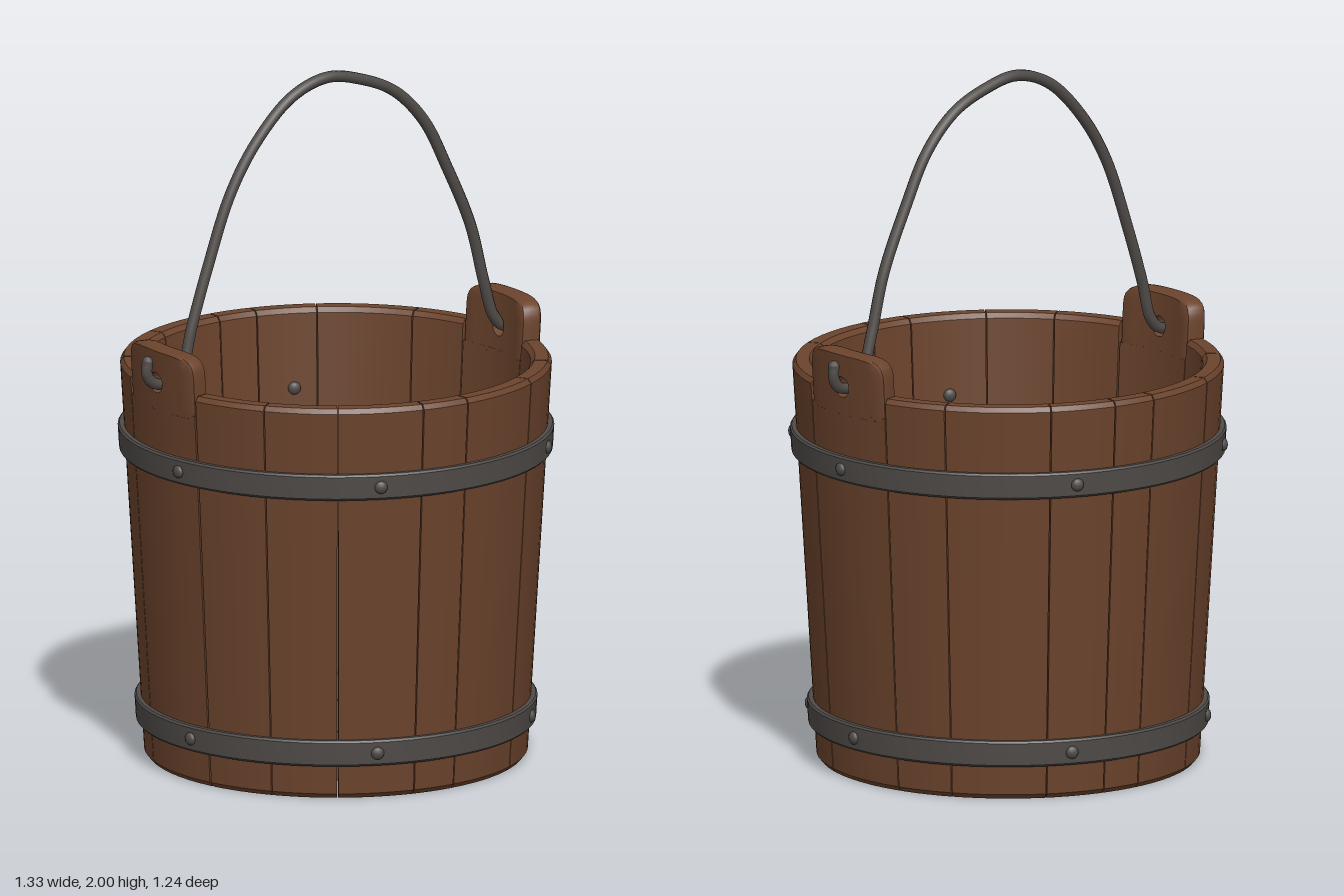
import * as THREE from 'three';
import { toCreasedNormals } from 'three/addons/utils/BufferGeometryUtils.js';

const HEIGHT = 1.16, WALL = 0.06, EAR_Y = 1.17;
// outer radius of the tapered tub at a height
const radius = (y) => 0.545 + 0.07 * y / HEIGHT;
// a is measured from the front (+z) towards +x
const polar = (a, y, r) => new THREE.Vector3(r * Math.sin(a), y, r * Math.cos(a));

export function createModel() {
  const wood = new THREE.MeshStandardMaterial({ color: 0x6b432c });
  wood.name = 'wood';
  const iron = new THREE.MeshStandardMaterial({ color: 0x4f4b48 });
  iron.name = 'iron';

  const bucket = new THREE.Group();
  bucket.name = 'bucket';
  const add = (name, geometry, material) => {
    const mesh = new THREE.Mesh(geometry, material);
    mesh.name = name;
    bucket.add(mesh);
    return mesh;
  };

  // Staves of uneven width; the wide ones at both sides carry the ears
  const seams = [-1.30, -0.93, -0.58, -0.17, 0.07, 0.54, 0.9, 1.30, 1.84,
    2.15, 2.65, 2.97, 3.19, 3.62, 4.13, 4.44, 4.98];
  for (let i = 0; i < seams.length - 1; i++) {
    const isEar = i === 7 || i === 15;
    add(isEar ? 'earStave' : 'stave', staveGeometry(seams[i] + 0.003, seams[i + 1] - 0.003, isEar), wood);
    if (isEar) add('ear', earGeometry((seams[i] + seams[i + 1]) / 2), wood);
  }

  // Floor planks running front to back
  const R = 0.495;
  const edges = [-R, -0.31, -0.09, 0.11, 0.3, R];
  for (let i = 0; i < edges.length - 1; i++) {
    const x0 = edges[i] + 0.002, x1 = edges[i + 1] - 0.002;
    const front = [], back = [];
    for (let k = 0; k <= 12; k++) {
      const x = R * Math.sin(THREE.MathUtils.lerp(Math.asin(x0 / R), Math.asin(x1 / R), k / 12));
      const z = Math.sqrt(R * R - x * x);
      front.push(new THREE.Vector2(x, -z));
      back.unshift(new THREE.Vector2(x, z));
    }
    const plank = new THREE.ExtrudeGeometry(new THREE.Shape([...front, ...back]), { depth: 0.06, bevelEnabled: false });
    plank.rotateX(-Math.PI / 2);
    add('floorPlank', plank, wood).position.y = 0.04;
  }
  const ring = new THREE.TorusGeometry(0.488, 0.006, 6, 64);
  ring.rotateX(Math.PI / 2);
  add('floorRing', ring, iron).position.y = 0.1;

  // Iron hoops with rivets showing on both sides of the wall
  const rivetAngles = [Math.PI / 2, 0.75, -0.38, -1.4, -2.41, -3.51];
  for (const y of [0.137, 0.93]) {
    const h = 0.038;
    const profile = [[-0.012, -h], [0.013, -h], [0.018, -h + 0.006], [0.018, h - 0.006], [0.013, h], [-0.012, h]]
      .map(([d, v]) => new THREE.Vector2(radius(y + v) + d, y + v));
    add('hoop', toCreasedNormals(new THREE.LatheGeometry(profile, 64), 0.6), iron);
    for (const a of rivetAngles) {
      for (const r of [radius(y) + 0.018, radius(y) - WALL]) {
        const rivet = add('rivet', new THREE.SphereGeometry(0.019, 12, 8), iron);
        rivet.position.copy(polar(a, y, r));
        rivet.rotation.y = a;
        rivet.scale.z = 0.65;
      }
    }
  }

  // Bent wire handle, hooked through both ears
  const path = [[-0.645, 1.235], [-0.647, 1.2], [-0.625, 1.17], [-0.56, 1.165], [-0.525, 1.2],
    [-0.495, 1.31], [-0.44, 1.48], [-0.36, 1.69], [-0.27, 1.83], [-0.15, 1.943], [-0.03, 1.983],
    [0.08, 1.963], [0.2, 1.91], [0.3, 1.81], [0.38, 1.66], [0.46, 1.48], [0.505, 1.31],
    [0.54, 1.2], [0.575, 1.167], [0.625, 1.17], [0.645, 1.2], [0.645, 1.235]]
    .map(([x, y]) => new THREE.Vector3(x, y, 0));
  add('handle', new THREE.TubeGeometry(new THREE.CatmullRomCurve3(path), 160, 0.0165, 10), iron);
  for (const end of [path[0], path[path.length - 1]]) {
    add('handleTip', new THREE.SphereGeometry(0.0165, 10, 8), iron).position.copy(end);
  }
  return bucket;
}

// A box bent around the tub, with eased rims
function staveGeometry(a0, a1, isEar) {
  const g = new THREE.BoxGeometry(1, 1, 1, 6, 3, 1);
  const top = isEar ? 1.1 : HEIGHT;
  const rows = [0, 0.014, top - 0.014, top];
  const p = g.attributes.position;
  for (let i = 0; i < p.count; i++) {
    const row = Math.round((p.getY(i) + 0.5) * 3);
    const y = rows[row];
    const ease = row === 0 || (row === 3 && !isEar) ? 0.011 : 0;
    const r = p.getZ(i) > 0 ? radius(y) - ease : radius(y) - WALL + ease;
    const v = polar(THREE.MathUtils.lerp(a0, a1, p.getX(i) + 0.5), y, r);
    p.setXYZ(i, v.x, v.y, v.z);
  }
  return toCreasedNormals(g, 0.5);
}

// A bent plate with a round hole: closed sections swept around the hole
function earGeometry(centre) {
  const N = 64, HOLE = 0.03, HALF = 0.267;
  // [share of the way from hole to rim, depth below the outer face]
  const section = [[0, 0], [0.33, 0], [0.66, 0], [0.92, 0], [0.98, 0.005], [1, 0.016],
    [1, WALL - 0.016], [0.98, WALL - 0.005], [0.92, WALL], [0.66, WALL], [0.33, WALL], [0, WALL]];
  const M = section.length, positions = [], index = [];
  for (let i = 0; i < N; i++) {
    const phi = i / N * Math.PI * 2, c = Math.cos(phi), s = Math.sin(phi);
    const power = s > 0 ? 5 : 24, tall = s > 0 ? 0.1 : 0.085;
    const reach = Math.pow(Math.pow(Math.abs(c), power) + Math.pow(Math.abs(s), power), -1 / power);
    for (const [f, depth] of section) {
      const u = THREE.MathUtils.lerp(HOLE / 0.6 * c, HALF * reach * c, f);
      const y = EAR_Y + THREE.MathUtils.lerp(HOLE * s, tall * reach * s, f);
      positions.push(...polar(centre + u, y, radius(y) - depth).toArray());
    }
    for (let j = 0; j < M; j++) {
      const a = i * M + j, b = i * M + (j + 1) % M;
      const d = ((i + 1) % N) * M + j, e = ((i + 1) % N) * M + (j + 1) % M;
      index.push(a, b, e, a, e, d);
    }
  }
  const g = new THREE.BufferGeometry();
  g.setAttribute('position', new THREE.Float32BufferAttribute(positions, 3));
  g.setIndex(index);
  return toCreasedNormals(g, 0.7);
}
